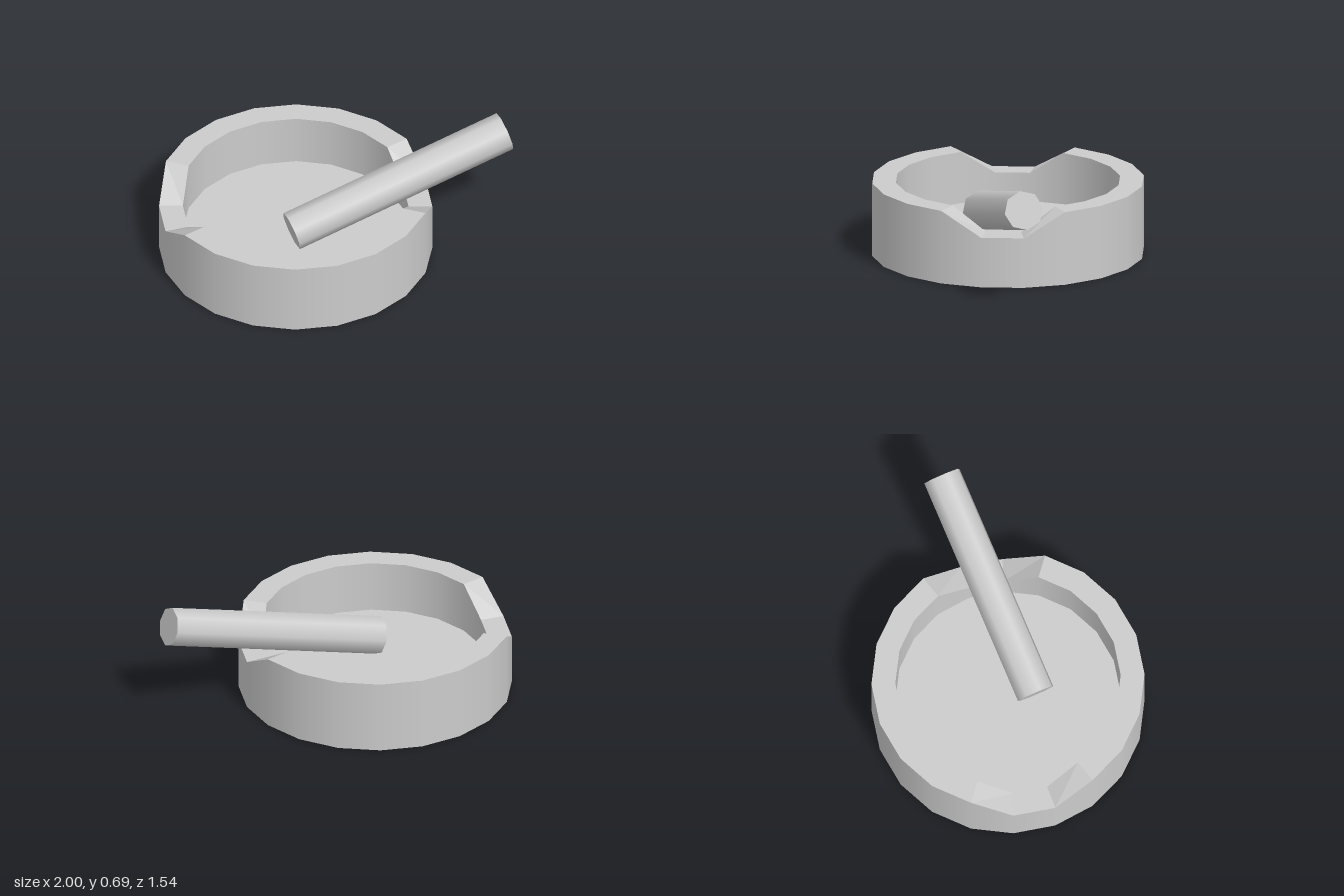
import * as THREE from 'three';

const SIDES = 20, STEP = (Math.PI * 2) / SIDES;
const OUTER = 0.772, INNER = 0.637, HEIGHT = 0.425, NOTCH = 0.29, FLOOR = 0.125;

// Rim height by direction: two opposite notches, each one side wide with sloped flanks
function rimHeight(x, z) {
  const i = ((Math.round(Math.atan2(z, x) / STEP) % 10) + 10) % 10;
  return i === 0 || i === 9 ? NOTCH : HEIGHT;
}

// Raise every vertex above minY to the rim height
function fitToRim(geometry, minY) {
  const p = geometry.attributes.position;
  for (let i = 0; i < p.count; i++) {
    if (p.getY(i) > minY) p.setY(i, rimHeight(p.getX(i), p.getZ(i)));
  }
  return geometry;
}

// Open wall from y = bottom up to the notched rim
function wall(radius, bottom) {
  const g = new THREE.CylinderGeometry(radius, radius, 1, SIDES, 1, true);
  g.translate(0, bottom + 0.5, 0);
  return fitToRim(g, bottom + 0.01);
}

export function createModel() {
  const model = new THREE.Group();
  const add = (parent, name, geometry, side = THREE.FrontSide) => {
    const mesh = new THREE.Mesh(geometry, new THREE.MeshStandardMaterial({ color: 0xcccccc, side }));
    mesh.name = name;
    parent.add(mesh);
    return mesh;
  };

  // Round tray
  const tray = new THREE.Group();
  tray.name = 'tray';
  tray.position.x = -0.228;
  model.add(tray);
  add(tray, 'outerWall', wall(OUTER, 0));
  add(tray, 'innerWall', wall(INNER, FLOOR), THREE.BackSide);

  const rim = new THREE.RingGeometry(INNER, OUTER, SIDES, 1).rotateX(-Math.PI / 2);
  const flatRim = fitToRim(rim, -1).toNonIndexed();
  flatRim.computeVertexNormals();
  add(tray, 'rim', flatRim);

  add(tray, 'floor', new THREE.CircleGeometry(INNER, SIDES).rotateX(-Math.PI / 2).translate(0, FLOOR, 0));
  add(tray, 'base', new THREE.CircleGeometry(OUTER, SIDES).rotateX(Math.PI / 2));

  // Eight-sided stick leaning from the floor out over the notch
  const start = new THREE.Vector3(-0.25, 0.23, 0.155);
  const end = new THREE.Vector3(0.951, 0.578, -0.327);
  const axis = end.clone().sub(start);
  const length = axis.length();
  axis.normalize();
  const across = new THREE.Vector3().crossVectors(axis, new THREE.Vector3(0, 1, 0)).normalize();
  const up = new THREE.Vector3().crossVectors(across, axis);
  const stick = add(model, 'stick', new THREE.CylinderGeometry(0.112, 0.112, length, 8, 1, false, 0.14));
  stick.quaternion.setFromRotationMatrix(new THREE.Matrix4().makeBasis(across, axis, up));
  stick.position.copy(start).lerp(end, 0.5);

  return model;
}
